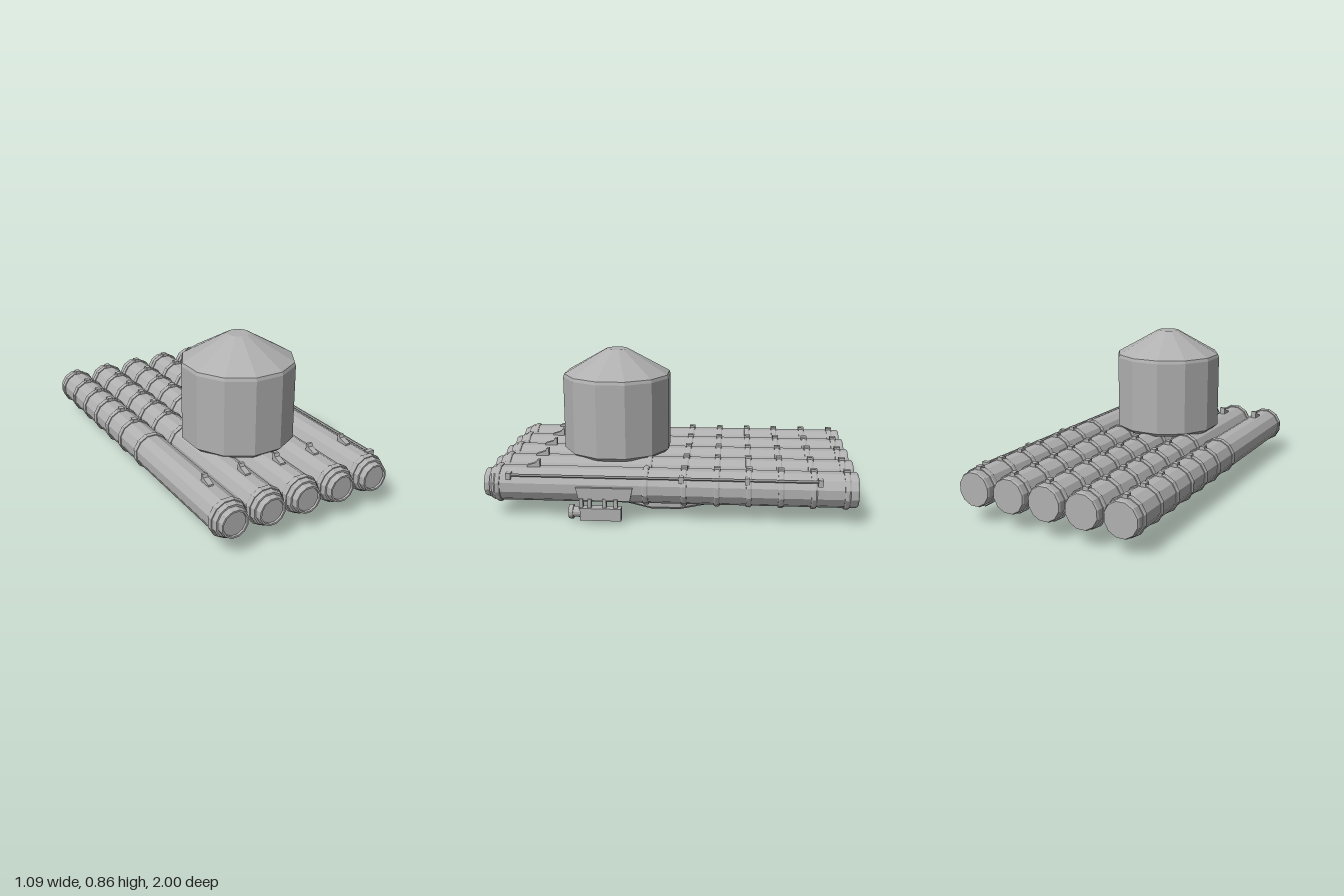
import * as THREE from 'three';

const SIDES = 12;
const TUBE_Y = 0.182;

export function createModel() {
  const model = new THREE.Group();
  model.name = 'tubeRaftWithTower';
  const grey = new THREE.MeshStandardMaterial({ color: 0xb0b0b0 });
  grey.flatShading = true;

  const add = (parent, name, geometry, x = 0, y = 0, z = 0) => {
    const mesh = new THREE.Mesh(geometry, grey);
    mesh.name = name;
    mesh.position.set(x, y, z);
    parent.add(mesh);
    return mesh;
  };
  // Faceted turned shape; radii are measured to the flats
  const turned = (profile, sides = SIDES) => {
    const k = 1 / Math.cos(Math.PI / sides);
    const pts = profile.map(([r, y]) => new THREE.Vector2(r * k, y));
    return new THREE.LatheGeometry(pts, sides, Math.PI / sides);
  };
  const turnedZ = (profile, sides) => turned(profile, sides).rotateX(Math.PI / 2);
  const box = (w, h, d) => new THREE.BoxGeometry(w, h, d);
  // Side outline given as [z, y], extruded across x and centred
  const sidePlate = (outline, width) => {
    const shape = new THREE.Shape(outline.map(([z, y]) => new THREE.Vector2(-z, y)));
    return new THREE.ExtrudeGeometry(shape, { depth: width, bevelEnabled: false })
      .translate(0, 0, -width / 2).rotateY(Math.PI / 2);
  };

  // Tower with conical roof
  add(model, 'tower', turned([
    [0, 0.264], [0.278, 0.264], [0.302, 0.285], [0.302, 0.702],
    [0.296, 0.72], [0.06, 0.858], [0, 0.858],
  ]), -0.014, 0, 0.336);

  // Flared foot under the tubes
  add(model, 'foot', turned([
    [0, 0], [0.3, 0], [0.311, 0.013], [0.311, 0.038], [0.262, 0.107], [0, 0.107],
  ]), -0.014, 0, 0.035);

  // Five parallel tubes with clamp bands and sights
  const tubeGeo = turnedZ([
    [0, -1], [0.088, -1], [0.093, -0.99], [0.093, 0.955], [0.086, 0.967],
    [0.077, 0.967], [0.077, 0.985], [0.073, 1], [0.064, 1], [0.062, 0.99], [0, 0.99],
  ]);
  const bandGeo = turnedZ([
    [0.09, -0.015], [0.098, -0.015], [0.102, -0.008],
    [0.102, 0.008], [0.098, 0.015], [0.09, 0.015],
  ]);
  const lugGeo = box(0.028, 0.03, 0.034);
  const sightGeo = sidePlate([
    [0.775, 0.268], [0.775, 0.284], [0.725, 0.3], [0.718, 0.316],
    [0.704, 0.316], [0.704, 0.268],
  ], 0.03);
  const bandZ = [-0.94, -0.767, -0.595, -0.425, -0.255, -0.08, 0.126, 0.926];
  for (let i = 0; i < 5; i++) {
    const tube = new THREE.Group();
    tube.name = 'tubeAssembly';
    tube.position.x = -0.0145 + (i - 2) * 0.2143;
    model.add(tube);
    add(tube, 'tube', tubeGeo, 0, TUBE_Y, 0);
    bandZ.forEach((z, j) => {
      add(tube, 'clampBand', bandGeo, 0, TUBE_Y, z);
      if (j < 6) add(tube, 'bandLug', lugGeo, 0, 0.28, z);
    });
    add(tube, 'sight', sightGeo);
  }

  // Handrail along the left side
  const rail = new THREE.Group();
  rail.name = 'sideRail';
  model.add(rail);
  add(rail, 'rod', turnedZ([[0, -0.81], [0.007, -0.81], [0.007, 0.86], [0, 0.86]], 6), 0.499, 0.25, 0);
  for (const z of [-0.797, -0.415, -0.068, 0.86]) {
    add(rail, 'railBracket', box(0.045, 0.036, 0.026), 0.49, 0.245, z);
  }

  // Motor box hung from a bracket on the left side
  const motor = new THREE.Group();
  motor.name = 'sideMotor';
  model.add(motor);
  add(motor, 'bracketPlate', sidePlate([
    [0.495, 0.195], [0.48, 0.125], [0.205, 0.125], [0.19, 0.195],
  ], 0.018), 0.514);
  for (const z of [0.465, 0.42, 0.34, 0.28]) {
    add(motor, 'hanger', box(0.028, 0.06, 0.02), 0.516, 0.105, z);
  }
  add(motor, 'motorBox', box(0.05, 0.068, 0.22), 0.518, 0.053, 0.36);
  add(motor, 'motorDrum', turnedZ([
    [0, 0.46], [0.028, 0.46], [0.028, 0.508], [0.037, 0.508], [0.037, 0.532], [0, 0.532],
  ]), 0.506, 0.056, 0);

  return model;
}
